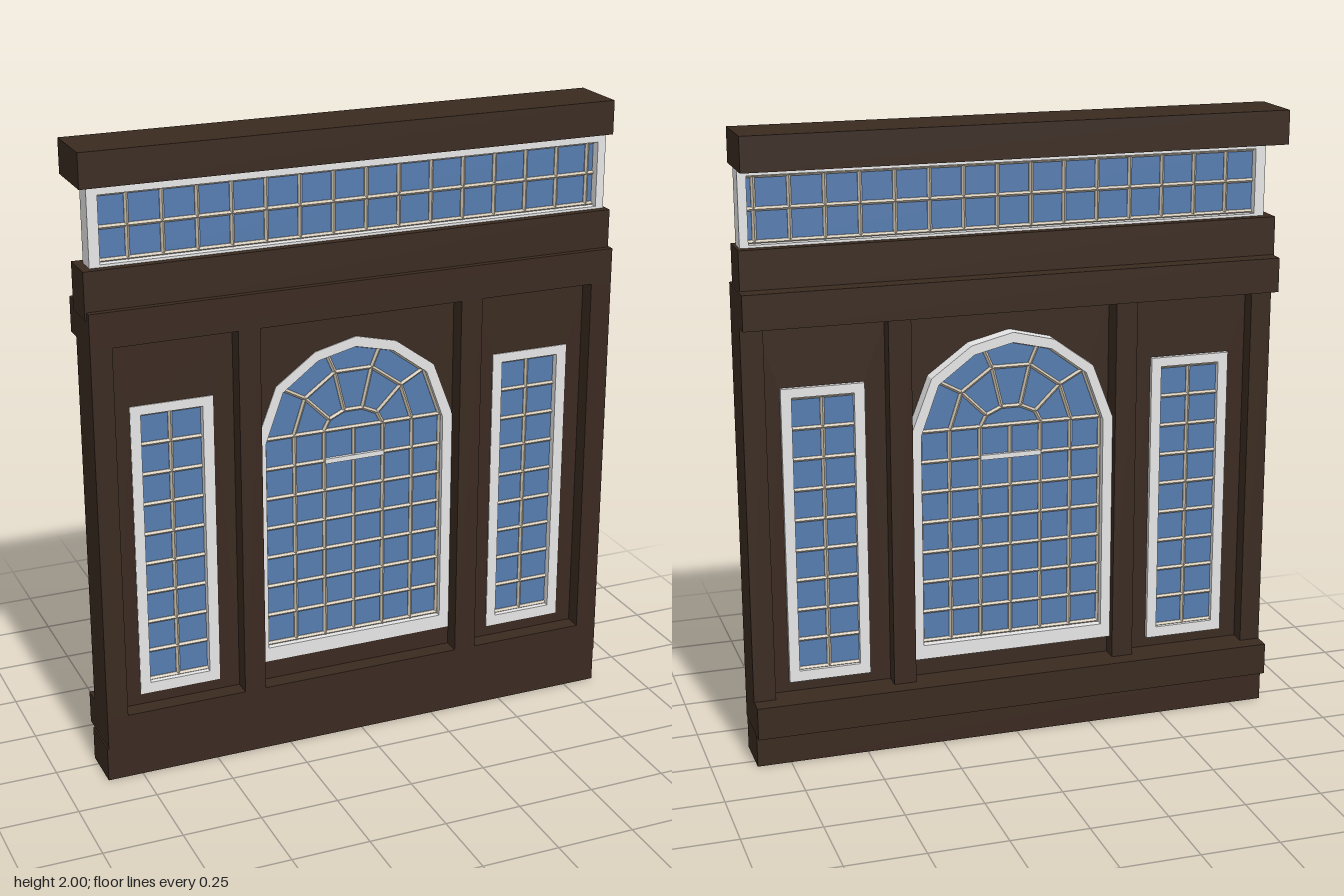
import * as THREE from 'three';

const mat = (name, color) => new THREE.MeshStandardMaterial({ name, color });

export function createModel() {
  const model = new THREE.Group();
  model.name = 'windowWall';
  const wood = mat('darkWood', 0x3a2a20);
  const white = mat('whiteFrame', 0xe6e6e6);
  const glass = mat('blueGlass', 0x567cb0);
  const bar = mat('glazingBar', 0xc6bcaa);
  bar.flatShading = true;
  const GLASS_Z = 0.03;

  const add = (parent, name, geometry, material) => {
    const m = new THREE.Mesh(geometry, material);
    m.name = name;
    parent.add(m);
    return m;
  };
  // Box given by its limits on each axis
  const box = (parent, name, material, x0, x1, y0, y1, z0, z1) => {
    const m = add(parent, name, new THREE.BoxGeometry(x1 - x0, y1 - y0, z1 - z0), material);
    m.position.set((x0 + x1) / 2, (y0 + y1) / 2, (z0 + z1) / 2);
    return m;
  };
  // Flat outline, optionally with a hole, extruded from z0 to z1
  const slab = (parent, name, material, outline, hole, z0, z1) => {
    const toVec = (pts) => pts.map(([x, y]) => new THREE.Vector2(x, y));
    const shape = new THREE.Shape(toVec(outline));
    if (hole) shape.holes.push(new THREE.Path(toVec(hole)));
    const g = new THREE.ExtrudeGeometry(shape, { depth: z1 - z0, bevelEnabled: false });
    g.translate(0, 0, z0);
    return add(parent, name, g, material);
  };
  const rect = (x0, x1, y0, y1) => [[x0, y0], [x1, y0], [x1, y1], [x0, y1]];
  // Slim six-sided glazing bar between two points, deeper than it is wide
  const glazing = (parent, [ax, ay], [bx, by], material = bar) => {
    const g = new THREE.CylinderGeometry(0.0075, 0.0075, Math.hypot(bx - ax, by - ay), 6);
    g.scale(1, 1, 1.7);
    const m = add(parent, 'glazingBar', g, material);
    m.position.set((ax + bx) / 2, (ay + by) / 2, GLASS_Z);
    m.rotation.z = Math.atan2(by - ay, bx - ax) - Math.PI / 2;
  };
  const grid = (parent, x0, x1, y0, y1, xs, ys) => {
    xs.forEach((x) => glazing(parent, [x, y0], [x, y1]));
    ys.forEach((y) => glazing(parent, [x0, y], [x1, y]));
  };
  const steps = (start, step, n) => Array.from({ length: n }, (_, i) => start + i * step);

  // Horizontal timbers
  box(model, 'baseBeam', wood, -0.862, 0.858, 0, 0.11, -0.042, 0.11);
  box(model, 'bottomRail', wood, -0.857, 0.86, 0.11, 0.215, -0.085, 0.11);
  box(model, 'topRail', wood, -0.857, 0.86, 1.42, 1.53, -0.085, 0.11);
  box(model, 'upperBeam', wood, -0.862, 0.855, 1.505, 1.652, -0.03, 0.09);
  box(model, 'corniceBeam', wood, -0.862, 0.855, 1.893, 2, -0.11, 0.09);

  // Posts
  [[-0.857, -0.79], [-0.402, -0.332], [0.334, 0.406], [0.79, 0.86]].forEach(([a, b]) =>
    box(model, 'post', wood, a, b, 0.215, 1.42, -0.03, 0.11));

  // Side panels with tall windows
  [-1, 1].forEach((side) => {
    const w = new THREE.Group();
    w.name = side < 0 ? 'rightWindow' : 'leftWindow';
    model.add(w);
    const outer = rect(-0.131, 0.131, 0.25, 1.21);
    const inner = rect(-0.098, 0.098, 0.285, 1.18);
    slab(w, 'sidePanel', wood, rect(-0.21, 0.21, 0.215, 1.42), outer, 0.022, 0.055);
    slab(w, 'sideFrame', white, outer, inner, 0.008, 0.058);
    box(w, 'sideGlass', glass, -0.098, 0.098, 0.285, 1.18, GLASS_Z - 0.004, GLASS_Z + 0.004);
    grid(w, -0.098, 0.098, 0.285, 1.18, [0], steps(0.287, 0.0988, 10));
    w.position.x = side * 0.602 + 0.003;
  });

  // Central arched window
  const arch = new THREE.Group();
  arch.name = 'archedWindow';
  model.add(arch);
  const mirrorArc = (half) => [...half, ...half.slice(0, -1).reverse().map(([x, y]) => [-x, y])];
  const outerArc = mirrorArc([[0.333, 1.03], [0.265, 1.207], [0.135, 1.302], [0, 1.335]]);
  const innerArc = mirrorArc([[0.3, 1.025], [0.242, 1.185], [0.126, 1.272], [0, 1.302]]);
  const outer = [[-0.333, 0.278], [0.333, 0.278], ...outerArc];
  const inner = [[-0.3, 0.325], [0.3, 0.325], ...innerArc];
  slab(arch, 'archPanel', wood, [...outerArc, [-0.333, 1.42], [0.333, 1.42]], null, 0.043, 0.055);
  box(arch, 'panelBelowArch', wood, -0.333, 0.334, 0.215, 0.278, 0.022, 0.055);
  slab(arch, 'archFrame', white, outer, inner, -0.004, 0.058);
  slab(arch, 'archGlass', glass, inner, null, GLASS_Z - 0.004, GLASS_Z + 0.004);
  grid(arch, -0.3, 0.3, 0.325, 1.03, [-0.298, 0.298], steps(0.33, 0.1, 8));
  steps(-0.198, 0.1, 5).forEach((x) => glazing(arch, [x, 0.325], [x, 1.03]));
  // White rail in the upper panes
  box(arch, 'whiteRail', white, -0.098, 0.102, 0.922, 0.938, GLASS_Z - 0.015, GLASS_Z + 0.015);

  // Fan of glazing bars in the arch
  const fan = (rx, ry) => steps(0, Math.PI / 5, 6).map((a) => [rx * Math.cos(a), 1.03 + ry * Math.sin(a)]);
  const hub = fan(0.1, 0.063);
  const middle = fan(0.2, 0.2);
  const rim = fan(0.29, 0.268);
  for (let i = 0; i < 5; i++) {
    glazing(arch, hub[i], hub[i + 1]);
    glazing(arch, middle[i], middle[i + 1]);
    if (i > 0) {
      glazing(arch, hub[i], middle[i]);
      glazing(arch, middle[i], rim[i]);
    }
  }
  for (let i = 0; i < innerArc.length - 1; i++) glazing(arch, innerArc[i], innerArc[i + 1]);

  // Long window under the cornice
  const band = new THREE.Group();
  band.name = 'bandWindow';
  model.add(band);
  slab(band, 'bandFrame', white, rect(-0.835, 0.845, 1.652, 1.893), rect(-0.802, 0.818, 1.66, 1.866), 0, 0.064);
  box(band, 'bandGlass', glass, -0.802, 0.818, 1.66, 1.866, GLASS_Z - 0.004, GLASS_Z + 0.004);
  grid(band, -0.802, 0.818, 1.66, 1.866, steps(-0.71, 0.1075, 15), [1.664, 1.763, 1.862]);

  return model;
}
